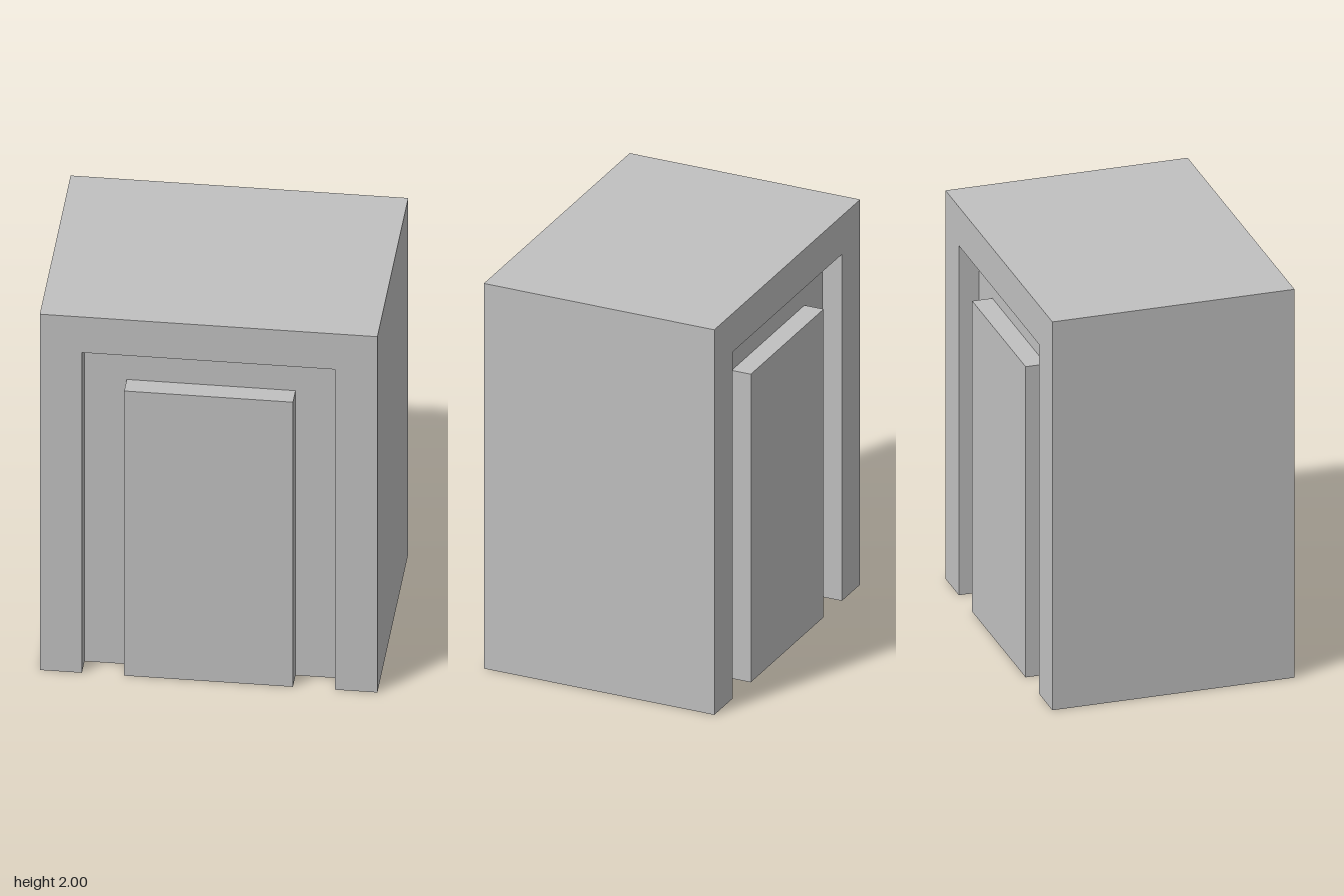
import * as THREE from 'three';

const WIDTH = 1.6, HEIGHT = 2, DEPTH = 1.2, STEP = 0.1;
const OPENING = { half: 0.6, height: 1.8 };
const DOOR = { half: 0.4, height: 1.6 };

// Open thin shell, visible from inside through the missing floor
const grey = new THREE.MeshStandardMaterial({ color: 0xc0c0c0, side: THREE.DoubleSide });
grey.name = 'plain grey';

function part(name, geometry, x = 0, y = 0, z = 0) {
  const mesh = new THREE.Mesh(geometry, grey);
  mesh.name = name;
  mesh.position.set(x, y, z);
  return mesh;
}

// Flat surround: outer rectangle with a doorway cut up from the floor
function surround(outer, inner) {
  const { half: a, height: h } = outer, { half: b, height: k } = inner;
  const points = [[-a, 0], [-b, 0], [-b, k], [b, k], [b, 0], [a, 0], [a, h], [-a, h]];
  return new THREE.ShapeGeometry(new THREE.Shape(points.map(p => new THREE.Vector2(...p))));
}

// Two sides and a top edge spanning one step of depth; facing is 1 outwards, -1 inwards
function edges(name, { half, height }, facing) {
  const group = new THREE.Group();
  group.name = name;
  const z = DEPTH / 2 - STEP / 2;
  for (const s of [-1, 1]) {
    const side = new THREE.PlaneGeometry(STEP, height).rotateY(s * facing * Math.PI / 2);
    group.add(part(s > 0 ? 'leftEdge' : 'rightEdge', side, s * half, height / 2, z));
  }
  const top = new THREE.PlaneGeometry(2 * half, STEP).rotateX(-facing * Math.PI / 2);
  group.add(part('topEdge', top, 0, height, z));
  return group;
}

// Wall with a recessed surround and a door standing flush with the wall
function doorWall(name) {
  const wall = new THREE.Group();
  wall.name = name;
  const z = DEPTH / 2;
  wall.add(
    part('wallFrame', surround({ half: WIDTH / 2, height: HEIGHT }, OPENING), 0, 0, z),
    edges('recessReveal', OPENING, -1),
    part('recessBack', surround(OPENING, DOOR), 0, 0, z - STEP),
    edges('doorEdges', DOOR, 1),
    part('doorPanel', new THREE.PlaneGeometry(2 * DOOR.half, DOOR.height), 0, DOOR.height / 2, z)
  );
  return wall;
}

export function createModel() {
  const model = new THREE.Group();
  model.name = 'doorBlock';

  const front = doorWall('frontWall');
  const back = doorWall('backWall');
  back.rotation.y = Math.PI;
  model.add(front, back);

  // Side walls and roof
  for (const s of [-1, 1]) {
    const side = new THREE.PlaneGeometry(DEPTH, HEIGHT).rotateY(s * Math.PI / 2);
    model.add(part(s > 0 ? 'leftWall' : 'rightWall', side, s * WIDTH / 2, HEIGHT / 2, 0));
  }
  model.add(part('roof', new THREE.PlaneGeometry(WIDTH, DEPTH).rotateX(-Math.PI / 2), 0, HEIGHT, 0));
  return model;
}
